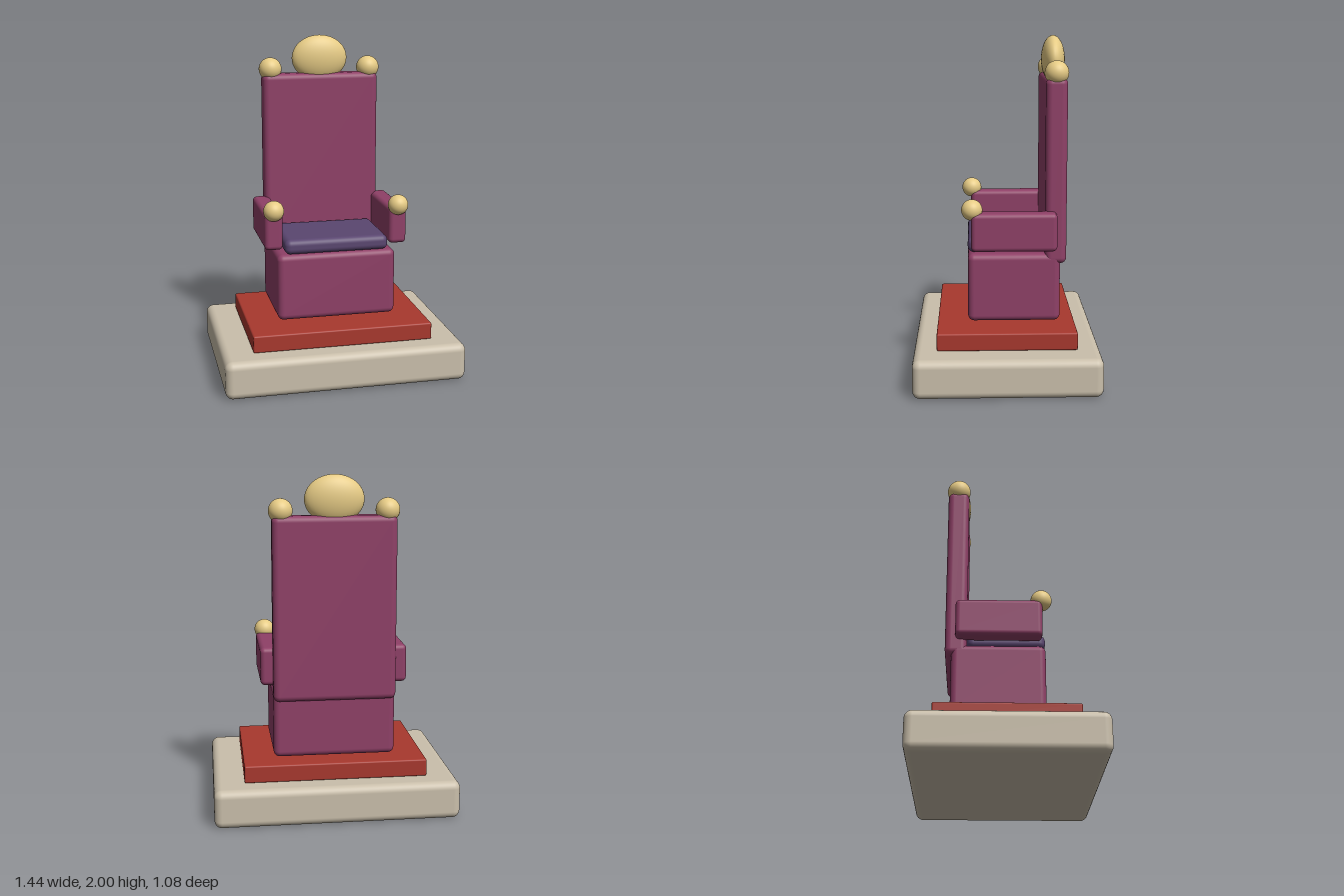
import * as THREE from 'three';
import { RoundedBoxGeometry } from 'three/addons/geometries/RoundedBoxGeometry.js';

const material = (color) => new THREE.MeshStandardMaterial({ color });

export function createModel() {
  const model = new THREE.Group();
  const stone = material(0xcabfab);
  const red = material(0xa8382e);
  const plum = material(0x8f4067);
  const violet = material(0x5a4670);
  const gold = material(0xe6cb85);

  function add(name, geometry, mat, x, y, z) {
    const mesh = new THREE.Mesh(geometry, mat);
    mesh.name = name;
    mesh.position.set(x, y, z);
    model.add(mesh);
    return mesh;
  }

  // Rounded block given by its min and max on each axis
  function block(name, mat, [x0, x1], [y0, y1], [z0, z1], radius) {
    const geometry = new RoundedBoxGeometry(x1 - x0, y1 - y0, z1 - z0, 5, radius);
    return add(name, geometry, mat, (x0 + x1) / 2, (y0 + y1) / 2, (z0 + z1) / 2);
  }

  const ball = (name, radius, x, y, z) =>
    add(name, new THREE.SphereGeometry(radius, 32, 24), gold, x, y, z);

  // Platform and carpet
  block('platform', stone, [-0.72, 0.72], [0, 0.227], [-0.54, 0.54], 0.045);
  block('carpet', red, [-0.54, 0.54], [0.227, 0.33], [-0.405, 0.405], 0.01);

  // Seat, cushion and backrest
  block('seat', plum, [-0.36, 0.36], [0.345, 0.75], [-0.315, 0.225], 0.036);
  block('cushion', violet, [-0.315, 0.315], [0.75, 0.84], [-0.225, 0.225], 0.036);
  block('backrest', plum, [-0.36, 0.36], [0.69, 1.77], [-0.351, -0.225], 0.036);

  // Armrests with gold knobs, and finials on the backrest corners
  for (const [side, s] of [['left', 1], ['right', -1]]) {
    const arm = block(`${side}Armrest`, plum, [0.324, 0.432], [0.78, 1.004], [-0.292, 0.205], 0.027);
    arm.position.x *= s;
    ball(`${side}ArmKnob`, 0.061, s * 0.378, 1.02, 0.2);
    ball(`${side}Finial`, 0.07, s * 0.308, 1.797, -0.288);
  }

  // Flattened oval crest
  ball('crest', 1, 0, 1.86, -0.288).scale.set(0.173, 0.14, 0.07);

  return model;
}
